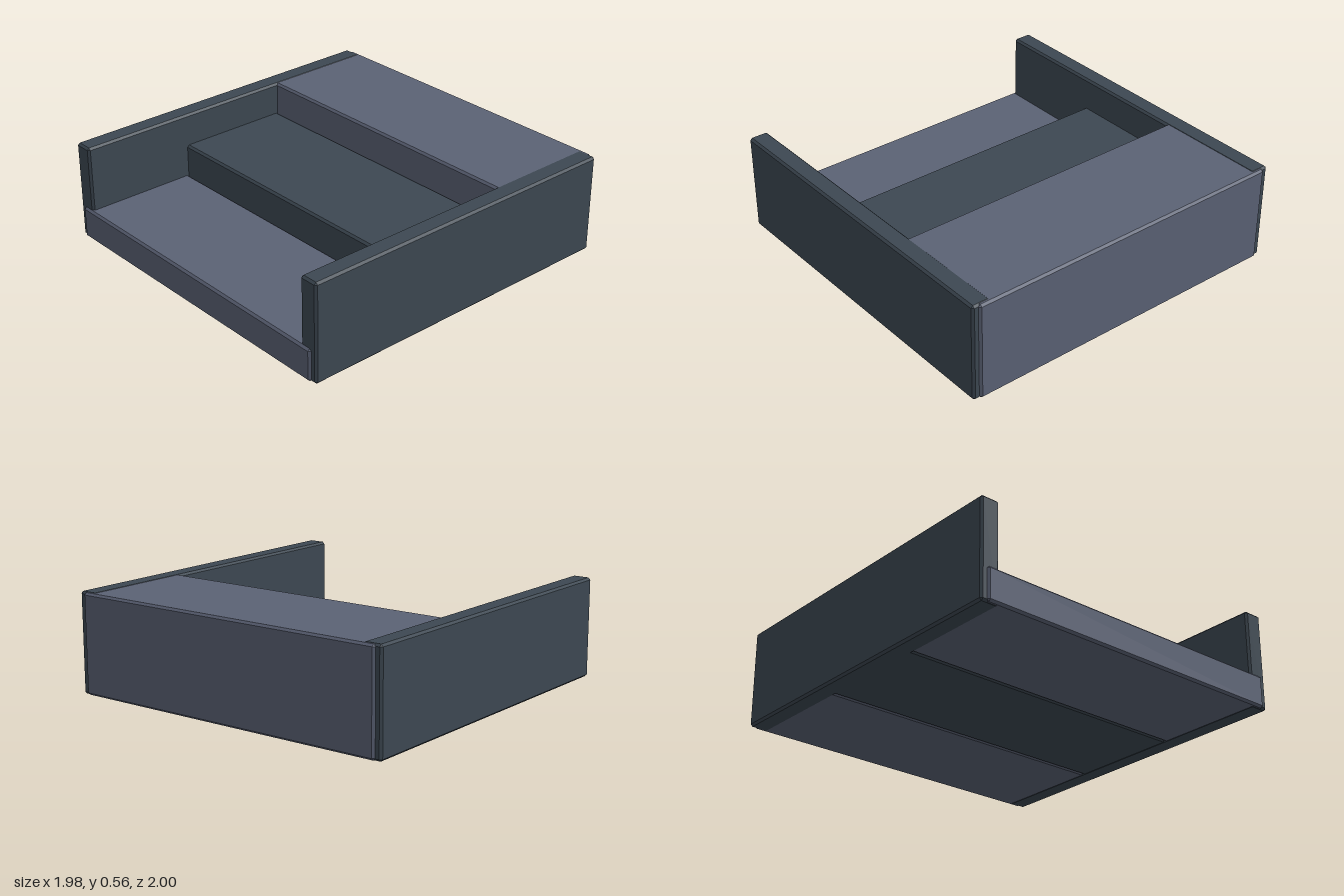
import * as THREE from 'three';
import { ConvexGeometry } from 'three/addons/geometries/ConvexGeometry.js';

const BEVEL = 0.012;

// Box with every edge chamfered, given by its min and max corners
function chamferedBox(min, max) {
  const size = max.map((v, i) => (v - min[i]) / 2);
  const points = [];
  for (let axis = 0; axis < 3; axis++) {
    for (const sx of [-1, 1]) for (const sy of [-1, 1]) for (const sz of [-1, 1]) {
      const p = [sx, sy, sz].map((s, i) => s * (size[i] - (i === axis ? 0 : BEVEL)));
      points.push(new THREE.Vector3(...p));
    }
  }
  const geometry = new ConvexGeometry(points);
  geometry.translate(...min.map((v, i) => (v + max[i]) / 2));
  return geometry;
}

export function createModel() {
  const group = new THREE.Group();
  const slate = new THREE.MeshStandardMaterial({ name: 'slate', color: 0x5b6275 });
  const charcoal = new THREE.MeshStandardMaterial({ name: 'charcoal', color: 0x3d4852 });

  const add = (name, min, max, material) => {
    const mesh = new THREE.Mesh(chamferedBox(min, max), material);
    mesh.name = name;
    group.add(mesh);
  };

  // Three steps rising to the back, set a hair inside the walls' top and bottom
  const steps = [
    ['frontStep', 0.188, slate],
    ['middleStep', 0.376, charcoal],
    ['backStep', 0.563, slate],
  ];
  steps.forEach(([name, height, material], i) => {
    const front = 1 - (i * 2) / 3;
    add(name, [-0.955, 0.002, front - 2 / 3], [0.955, height, front], material);
  });

  // Side walls
  add('leftWall', [0.878, 0, -0.988], [0.99, 0.565, 0.988], charcoal);
  add('rightWall', [-0.99, 0, -0.988], [-0.878, 0.565, 0.988], charcoal);

  return group;
}
